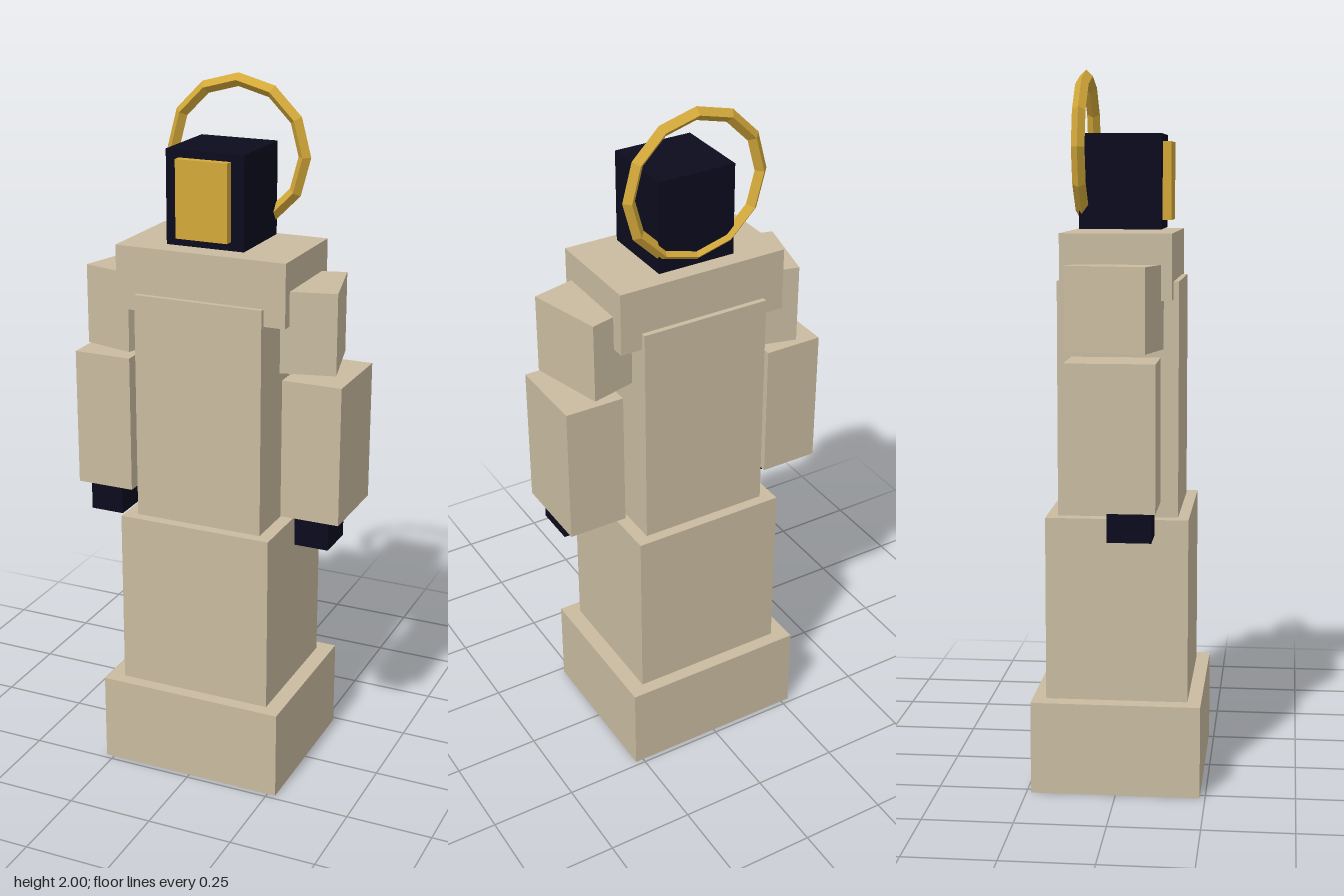
import * as THREE from 'three';

export function createModel() {
  const model = new THREE.Group();
  model.name = 'robedStatue';

  const material = (name, color) => {
    const m = new THREE.MeshStandardMaterial({ color });
    m.name = name;
    return m;
  };
  const robe = material('robeBeige', 0xc9bba0);
  const dark = material('darkNavy', 0x0b0b1e);
  const gold = material('gold', 0xd4a93a);

  // Box given by its extents on each axis
  function block(name, mat, [x0, x1], [y0, y1], [z0, z1]) {
    const mesh = new THREE.Mesh(new THREE.BoxGeometry(x1 - x0, y1 - y0, z1 - z0), mat);
    mesh.position.set((x0 + x1) / 2, (y0 + y1) / 2, (z0 + z1) / 2);
    mesh.name = name;
    model.add(mesh);
    return mesh;
  }

  // Body, stacked from the hem up
  block('hem', robe, [-0.274, 0.274], [0, 0.26], [-0.237, 0.235]);
  block('skirt', robe, [-0.227, 0.227], [0.26, 0.775], [-0.199, 0.197]);
  block('torso', robe, [-0.189, 0.189], [0.775, 1.425], [-0.168, 0.166]);
  block('shoulderYoke', robe, [-0.251, 0.251], [1.377, 1.556], [-0.153, 0.151]);

  // Arms, mirrored
  for (const [side, s] of [['left', 1], ['right', -1]]) {
    const span = (a, b) => (s > 0 ? [a, b] : [-b, -a]);
    const upper = block(side + 'UpperArm', robe, span(0.197, 0.35), [1.245, 1.473], [-0.115, 0.112]);
    upper.rotation.y = s * 0.25;
    block(side + 'Sleeve', robe, span(0.232, 0.403), [0.825, 1.223], [-0.123, 0.12]);
    block(side + 'Hand', dark, span(0.27, 0.37), [0.74, 0.826], [-0.013, 0.107]);
  }

  // Head with its face plate
  block('head', dark, [-0.114, 0.114], [1.563, 1.823], [-0.115, 0.112]);
  block('facePlate', gold, [-0.076, 0.076], [1.587, 1.802], [0.11, 0.136]);

  // Faceted ring behind the head
  const ring = new THREE.TorusGeometry(0.197, 0.0185, 4, 12).toNonIndexed();
  ring.computeVertexNormals();
  const halo = new THREE.Mesh(ring, gold);
  halo.name = 'halo';
  halo.position.set(0, 1.785, -0.108);
  model.add(halo);

  return model;
}
